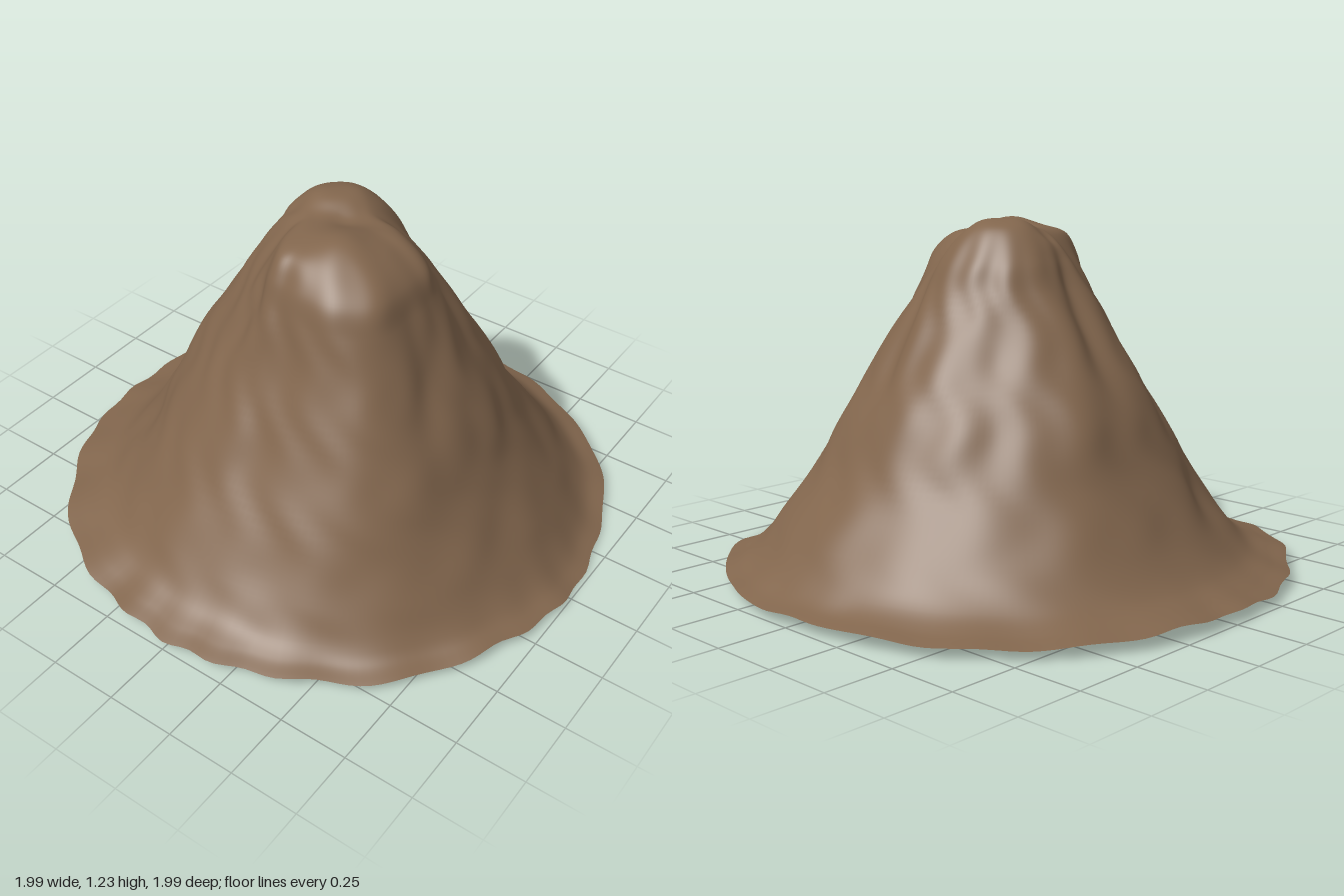
import * as THREE from 'three';
import { mergeVertices } from 'three/addons/utils/BufferGeometryUtils.js';

// Slope profile: height, then radius in eight directions from +x through +z, -x and -z
const PROFILE = [
  [0.038, 0.99, 0.99, 0.99, 1.00, 0.99, 1.01, 0.99, 1.00],
  [0.06, 0.93, 0.93, 0.93, 0.93, 0.92, 0.94, 0.93, 0.93],
  [0.10, 0.88, 0.89, 0.86, 0.85, 0.84, 0.87, 0.88, 0.88],
  [0.20, 0.80, 0.83, 0.78, 0.76, 0.75, 0.78, 0.80, 0.80],
  [0.40, 0.67, 0.73, 0.64, 0.63, 0.63, 0.65, 0.65, 0.66],
  [0.60, 0.58, 0.64, 0.52, 0.51, 0.54, 0.55, 0.545, 0.55],
  [0.80, 0.47, 0.54, 0.42, 0.39, 0.43, 0.43, 0.43, 0.43],
  [1.00, 0.38, 0.45, 0.35, 0.28, 0.30, 0.32, 0.32, 0.30],
  [1.10, 0.34, 0.40, 0.32, 0.21, 0.25, 0.27, 0.27, 0.22],
  [1.17, 0.25, 0.30, 0.27, 0.15, 0.20, 0.20, 0.21, 0.15],
  [1.195, 0.14, 0.17, 0.17, 0.11, 0.13, 0.13, 0.14, 0.11],
  [1.20, 0.07, 0.07, 0.07, 0.07, 0.07, 0.07, 0.07, 0.07],
  [1.20, 0, 0, 0, 0, 0, 0, 0, 0],
];

// Gullies (negative depth) and ribs (positive): angle, drift, width, depth, middle height, height spread
const FOLDS = [
  [3.10, 0.05, 0.16, -0.040, 0.95, 0.28],
  [2.75, -0.2, 0.16, 0.012, 0.75, 0.30],
  [3.45, 0.2, 0.18, 0.015, 0.70, 0.30],
  [1.95, 0.25, 0.15, -0.020, 0.95, 0.22],
  [1.05, -0.2, 0.16, -0.015, 0.70, 0.25],
  [0.35, 0.2, 0.12, -0.015, 0.80, 0.25],
  [-0.40, 0.4, 0.18, -0.020, 0.80, 0.25],
  [-1.25, -0.3, 0.14, -0.025, 0.75, 0.28],
  [-1.75, 0.3, 0.18, 0.010, 0.60, 0.25],
  [-2.25, -0.2, 0.15, -0.020, 0.70, 0.28],
  [2.60, 0.2, 0.14, -0.025, 0.30, 0.12],
];

// Summit knolls and the saddle between them: x, z, width, height, steepness
const KNOLLS = [
  [-0.07, -0.10, 0.12, 0.037, 4],
  [0.13, 0.16, 0.10, 0.034, 2],
  [0.04, 0.02, 0.05, -0.012, 2],
  [-0.18, 0.03, 0.05, -0.020, 2],
  [0.11, -0.03, 0.06, -0.012, 2],
];

const bell = (d, w, power = 2) => Math.exp(-Math.pow(Math.abs(d) / w, power));
const wrap = (a) => Math.atan2(Math.sin(a), Math.cos(a));

// One smooth profile curve for each direction
const curves = [1, 2, 3, 4, 5, 6, 7, 8].map((c) => new THREE.CatmullRomCurve3(
  PROFILE.map((p) => new THREE.Vector3(p[c], p[0], 0)), false, 'centripetal'));

function surfacePoint(angle, t) {
  // Blend the two neighbouring profiles
  const q = angle / (Math.PI / 4);
  const i = Math.floor(q), f = q - i, blend = f * f * (3 - 2 * f);
  const p = curves[i % 8].getPoint(t).lerp(curves[(i + 1) % 8].getPoint(t), blend);
  let r = p.x, y = p.y;

  // Erosion folds and small unevenness on the slope
  const slope = THREE.MathUtils.smoothstep(r, 0.12, 0.35) * THREE.MathUtils.smoothstep(y, 0.06, 0.25);
  let push = 0;
  for (const [a, drift, w, depth, mid, spread] of FOLDS)
    push += depth * bell(wrap(angle - a - drift * (mid - y)), w) * bell(y - mid, spread);
  push += 0.005 * Math.sin(7 * angle + 9 * y) * Math.sin(11 * y + 2 * Math.sin(3 * angle))
        + 0.003 * Math.sin(17 * angle - 14 * y + Math.sin(23 * y));
  r += push * slope;

  // Ragged rim that dips to the ground on one side
  const rim = THREE.MathUtils.smoothstep(r, 0.8, 1);
  const front = 0.5 + 0.5 * Math.sin(angle);
  r += rim * (0.005 * Math.sin(9 * angle + 1) + (0.002 + 0.007 * front) * Math.sin(25 * angle + 2 * Math.sin(4 * angle)));
  y += rim * (-0.025 * bell(wrap(angle + 0.2), 0.4) - 0.005 * Math.cos(angle)
    + 0.005 * Math.sin(6 * angle) + 0.004 * Math.sin(19 * angle));

  const x = r * Math.cos(angle), z = r * Math.sin(angle);
  for (const [kx, kz, w, h, power] of KNOLLS) y += h * bell(Math.hypot(x - kx, z - kz), w, power);
  return [x, y, z];
}

export function createModel() {
  const AROUND = 180, UP = 96;
  const positions = [], index = [];
  for (let j = 0; j <= UP; j++)
    for (let i = 0; i < AROUND; i++)
      positions.push(...surfacePoint((i / AROUND) * Math.PI * 2, j / UP));
  for (let j = 0; j < UP; j++)
    for (let i = 0; i < AROUND; i++) {
      const n = (i + 1) % AROUND;
      const a = j * AROUND + i, b = j * AROUND + n, c = a + AROUND, d = b + AROUND;
      index.push(a, c, b);
      if (j < UP - 1) index.push(b, c, d);
    }
  let geometry = new THREE.BufferGeometry();
  geometry.setAttribute('position', new THREE.Float32BufferAttribute(positions, 3));
  geometry.setIndex(index);
  geometry = mergeVertices(geometry, 1e-5);
  geometry.computeVertexNormals();

  // Hollow mountain shell, open underneath
  const mountain = new THREE.Mesh(geometry, new THREE.MeshStandardMaterial({ color: 0x82664d, side: THREE.DoubleSide }));
  mountain.name = 'mountainShell';

  // Stand on the ground, centred
  geometry.computeBoundingBox();
  const box = geometry.boundingBox, mid = box.getCenter(new THREE.Vector3());
  geometry.translate(-mid.x, -box.min.y, -mid.z);

  const group = new THREE.Group();
  group.name = 'mountain';
  group.add(mountain);
  return group;
}
